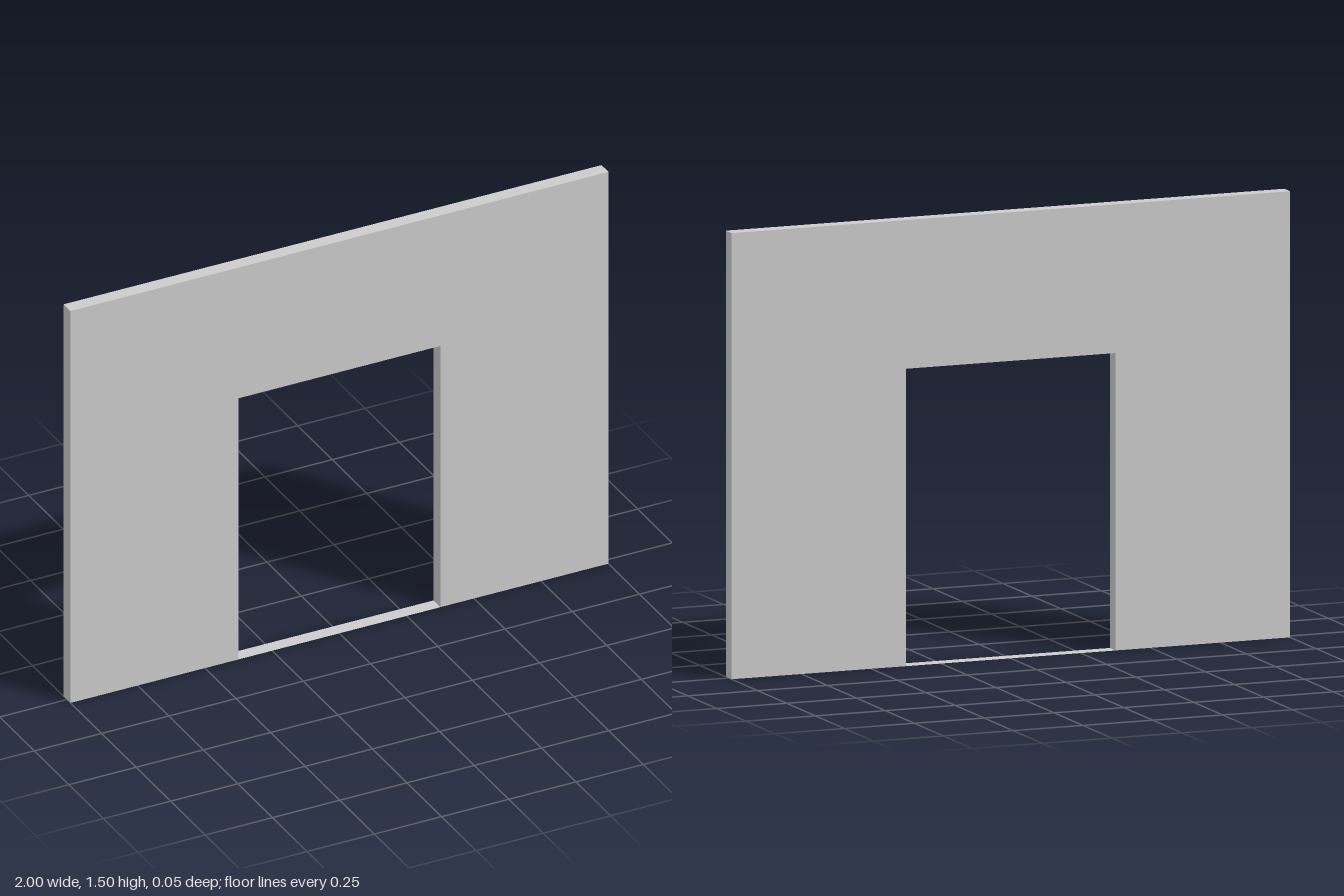
import * as THREE from 'three';

const WIDTH = 2, HEIGHT = 1.5, DEPTH = 0.05;
const DOOR_WIDTH = 0.75, DOOR_HEIGHT = 1;

export function createModel() {
  const group = new THREE.Group();
  group.name = 'wallWithDoorway';
  const material = new THREE.MeshStandardMaterial({ color: 0xcccccc, flatShading: true });

  // Wall outline with the doorway cut up from the ground
  const w = WIDTH / 2, d = DOOR_WIDTH / 2;
  const outline = new THREE.Shape([
    [-w, 0], [-d, 0], [-d, DOOR_HEIGHT], [d, DOOR_HEIGHT],
    [d, 0], [w, 0], [w, HEIGHT], [-w, HEIGHT],
  ].map(([x, y]) => new THREE.Vector2(x, y)));
  const wallGeometry = new THREE.ExtrudeGeometry(outline, { depth: DEPTH, bevelEnabled: false });
  wallGeometry.translate(0, 0, -DEPTH / 2);
  const wall = new THREE.Mesh(wallGeometry, material);
  wall.name = 'wall';
  group.add(wall);

  // Paper-thin threshold on the ground between the jambs
  const thresholdMaterial = material.clone();
  thresholdMaterial.side = THREE.DoubleSide;
  const threshold = new THREE.Mesh(
    new THREE.PlaneGeometry(DOOR_WIDTH, DEPTH).rotateX(-Math.PI / 2),
    thresholdMaterial,
  );
  threshold.name = 'threshold';
  group.add(threshold);

  return group;
}
